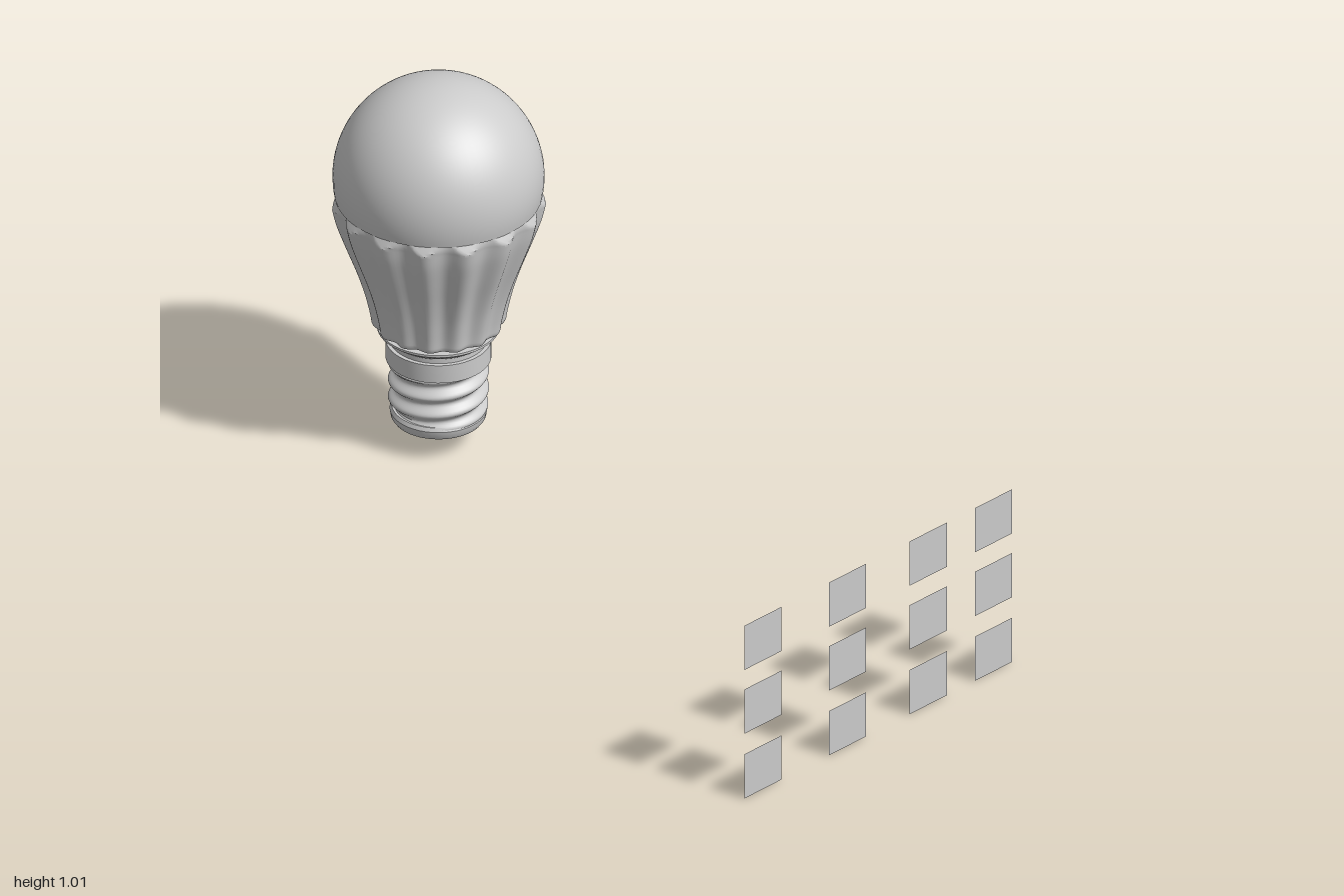
import * as THREE from 'three';
import { toCreasedNormals } from 'three/addons/utils/BufferGeometryUtils.js';

const material = new THREE.MeshStandardMaterial({ color: 0xcccccc });
const panelMaterial = new THREE.MeshStandardMaterial({ color: 0xcccccc, side: THREE.DoubleSide });

// Crease at a larger scale so that close vertices stay separate
function crease(geometry, angle) {
  geometry.scale(100, 100, 100);
  const result = toCreasedNormals(geometry, angle);
  return result.scale(0.01, 0.01, 0.01);
}

// Turned part from [radius, height] pairs; rule(r, y, angle) may reshape the radius
function turned(name, profile, segments, rule) {
  const points = profile.map(([r, y]) => new THREE.Vector2(r, y));
  const geometry = new THREE.LatheGeometry(points, segments);
  if (rule) {
    const pos = geometry.attributes.position;
    for (let i = 0; i < pos.count; i++) {
      const x = pos.getX(i), y = pos.getY(i), z = pos.getZ(i);
      const r = Math.hypot(x, z);
      if (r < 1e-5) continue;
      const k = rule(r, y, Math.atan2(x, z)) / r;
      pos.setX(i, x * k);
      pos.setZ(i, z * k);
    }
  }
  const mesh = new THREE.Mesh(crease(geometry, 0.6), material);
  mesh.name = name;
  return mesh;
}

export function createModel() {
  const model = new THREE.Group();
  const bulb = new THREE.Group();
  bulb.name = 'bulb';
  bulb.position.set(0.19, 0, -0.735);
  model.add(bulb);

  // Dome: most of a sphere on a closed base
  const dome = [[0, 0.704]];
  const R = 0.26, startAngle = -0.2;
  for (let i = 0; i <= 32; i++) {
    const a = startAngle + (Math.PI / 2 - startAngle) * i / 32;
    dome.push([Math.max(0, R * Math.cos(a)), 0.755 + R * Math.sin(a)]);
  }
  bulb.add(turned('dome', dome, 64));

  // Heat sink: flared body with rounded fins, chamfered at the rim
  const flare = new THREE.SplineCurve([
    [0.166, 0.35], [0.172, 0.385], [0.185, 0.44], [0.204, 0.5],
    [0.23, 0.57], [0.253, 0.635], [0.264, 0.68],
  ].map(([r, y]) => new THREE.Vector2(r, y)));
  const body = [[0, 0.338], [0.155, 0.338], [0.162, 0.342]];
  for (const p of flare.getPoints(24)) body.push([p.x, p.y]);
  for (const y of [0.687, 0.694, 0.701, 0.708]) body.push([0.266, y]);
  body.push([0, 0.708]);
  const fins = 15, finPhase = -4.5 * Math.PI / 180;
  bulb.add(turned('heatSink', body, fins * 12, (r, y, a) => {
    const depth = THREE.MathUtils.mapLinear(y, 0.338, 0.7, 0.01, 0.019);
    const ribbed = r - depth * (0.5 - 0.5 * Math.cos(fins * (a - finPhase)));
    const chamfer = 0.25 + (0.708 - y) * 0.5;
    return Math.min(ribbed, chamfer);
  }));

  // Collar: flange, recess and band between heat sink and thread
  bulb.add(turned('collar', [
    [0.12, 0.34], [0.12, 0.33], [0.151, 0.33], [0.151, 0.324], [0.128, 0.306],
    [0.12, 0.303], [0.12, 0.288], [0.13, 0.288], [0.13, 0.238], [0, 0.238],
  ].reverse(), 48));

  // Screw thread: a helical ridge that fades out at both ends
  const pitch = 0.05, low = 0.085, high = 0.24;
  const thread = [];
  for (let i = 0; i <= 48; i++) thread.push([0.115, low + (high - low) * i / 48]);
  bulb.add(turned('screwThread', thread, 64, (r, y, a) => {
    const fade = Math.min(1, (y - low) / 0.02, (high - y) / 0.015);
    const turn = y / pitch - a / (2 * Math.PI) - 2.85;
    return r + 0.009 * fade * Math.cos(2 * Math.PI * turn);
  }));

  // Contact tip: tapered cap with a small button
  bulb.add(turned('contactTip', [
    [0, 0.025], [0.034, 0.026], [0.043, 0.032], [0.05, 0.039],
    [0.085, 0.05], [0.112, 0.066], [0.117, 0.073], [0.12, 0.09], [0.115, 0.1], [0, 0.1],
  ], 48));

  // Square panels: flat grid of four columns and three rows
  const panels = new THREE.Group();
  panels.name = 'squarePanels';
  const panelGeometry = new THREE.PlaneGeometry(0.127, 0.127);
  for (const x of [-0.396, -0.106, 0.171, 0.394]) {
    for (const y of [0.065, 0.251, 0.434]) {
      const panel = new THREE.Mesh(panelGeometry, panelMaterial);
      panel.name = 'squarePanel';
      panel.position.set(x, y, 1);
      panels.add(panel);
    }
  }
  model.add(panels);
  return model;
}
